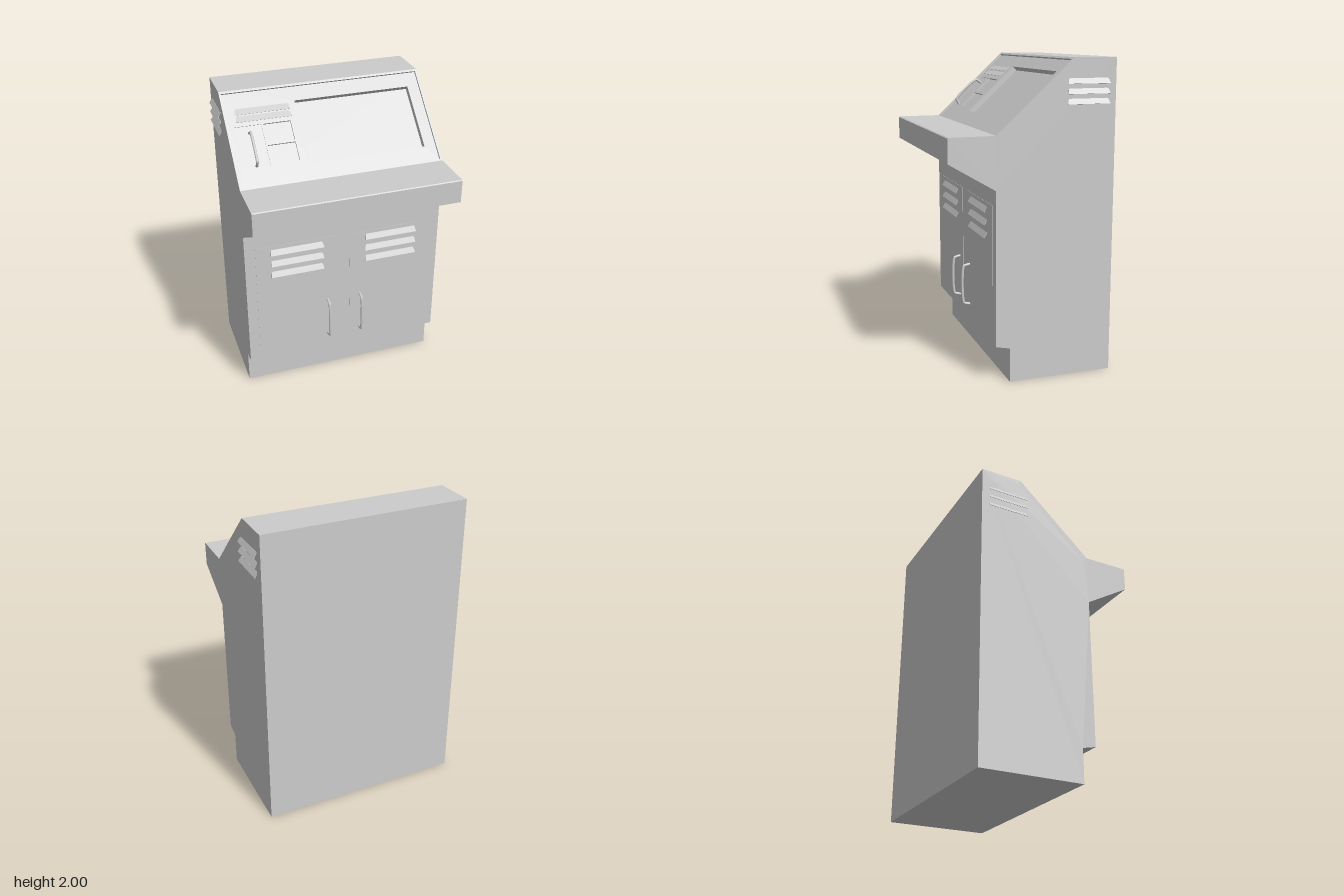
import * as THREE from 'three';

const metal = new THREE.MeshStandardMaterial({ color: 0xcccccc, side: THREE.DoubleSide });
metal.name = 'greyMetal';

const WIDTH = 1.34;
const SLOPE = Math.hypot(0.49, 0.45);      // length of the sloping console face
const TILT = Math.atan2(0.49, 0.45);       // its lean backwards
const DEPTH = 0.047;                       // space behind the console face for its layers
const LIP = 0.012;                         // height of the rim around the console face

function add(parent, name, geometry, x = 0, y = 0, z = 0) {
  const mesh = new THREE.Mesh(geometry, metal);
  mesh.name = name;
  mesh.position.set(x, y, z);
  parent.add(mesh);
  return mesh;
}

const rectPoints = ([x0, y0, x1, y1]) =>
  [[x0, y0], [x1, y0], [x1, y1], [x0, y1]].map(p => new THREE.Vector2(...p));

// Flat plate with rectangular openings
function plate(outer, holes, depth) {
  const shape = new THREE.Shape(rectPoints(outer));
  holes.forEach(h => shape.holes.push(new THREE.Path(rectPoints(h).reverse())));
  return new THREE.ExtrudeGeometry(shape, { depth, bevelEnabled: false });
}

// Thin slat hinged at its top edge and leaning out at the bottom
function louvre(parent, name, width, drop, out, x, y, z, turn = 0) {
  const w = width / 2, h = Math.hypot(drop, out);
  const shape = new THREE.Shape();
  shape.moveTo(-w, -h);
  shape.lineTo(w, -h);
  shape.lineTo(w - 0.004, -h * 0.4);
  shape.quadraticCurveTo(w - 0.006, 0, w - 0.018, 0);
  shape.lineTo(-w + 0.018, 0);
  shape.quadraticCurveTo(-w + 0.006, 0, -w + 0.004, -h * 0.4);
  const geometry = new THREE.ExtrudeGeometry(shape, { depth: 0.002, bevelEnabled: false, curveSegments: 4 });
  geometry.rotateX(-Math.atan2(out, drop));
  add(parent, name, geometry, x, y, z).rotation.y = turn;
}

// Bowed grab handle standing off its surface, along local y
function handle(parent, name, length, reach, x, y, z) {
  const l = length / 2;
  const points = [[-l, -0.004], [-l + 0.012, reach * 0.8], [-l * 0.5, reach * 0.97], [0, reach],
    [l * 0.5, reach * 0.97], [l - 0.012, reach * 0.8], [l, -0.004]]
    .map(([py, pz]) => new THREE.Vector3(0, py, pz));
  const curve = new THREE.CatmullRomCurve3(points, false, 'catmullrom', 0.25);
  add(parent, name, new THREE.TubeGeometry(curve, 40, 0.009, 10), x, y, z);
}

export function createModel() {
  const model = new THREE.Group();
  model.name = 'controlConsole';

  // Cabinet body: side profile (z, y) with a notch for the console face
  const nz = Math.cos(TILT) * DEPTH, ny = Math.sin(TILT) * DEPTH;
  const profile = [[0.15, 0], [0.15, 0.22], [0.24, 0.24], [0.24, 1.22], [0.535, 1.395], [0.535, 1.545],
    [0.528, 1.55], [0.24, 1.55], [0.24 - nz, 1.55 - ny], [-0.25 - nz, 2 - ny], [-0.25, 2],
    [-0.53, 2], [-0.53, 0]].map(p => new THREE.Vector2(...p));
  const body = new THREE.ExtrudeGeometry(new THREE.Shape(profile), { depth: WIDTH, bevelEnabled: false });
  body.translate(0, 0, -WIDTH / 2).rotateY(-Math.PI / 2);
  add(model, 'cabinetBody', body);

  // Console face: local y runs up the slope, local z points out of it
  const face = new THREE.Group();
  face.name = 'consoleFace';
  face.position.set(0, 1.55, 0.24);
  face.rotation.x = -TILT;
  model.add(face);
  const outer = [-WIDTH / 2, 0, WIDTH / 2, SLOPE];
  const screen = [-0.2, 0.117, 0.58, 0.552];
  const pockets = [[-0.435, 0.146, -0.255, 0.274], [-0.435, 0.288, -0.255, 0.42]];
  const hatch = [-0.615, 0.14, -0.445, 0.42];
  add(face, 'consoleRim', plate(outer, [[-0.657, 0.011, 0.657, 0.65]], LIP), 0, 0, -LIP);
  add(face, 'consolePanel', plate(outer, [screen, hatch, ...pockets], DEPTH - LIP), 0, 0, -DEPTH);
  pockets.forEach(p => add(face, 'pocketFloor', plate(p, [], 0.024), 0, 0, -DEPTH));
  add(face, 'hatchPlate', plate(hatch, [], 0.031), 0, 0, -DEPTH);
  handle(face, 'hatchHandle', 0.225, 0.05, -0.53, 0.26, -LIP - 0.004);
  for (const v of [0.54, 0.49])
    louvre(face, 'consoleLouvre', 0.36, 0.046, 0.012, -0.42, v, -LIP);

  // Cupboard doors, their louvres and handles, and the side vents
  for (const s of [1, -1]) {
    add(model, 'door', new THREE.BoxGeometry(0.56, 0.82, 0.004), s * 0.32, 0.71, 0.24);
    handle(model, 'doorHandle', 0.28, 0.052, s * 0.115, 0.485, 0.242);
    for (let i = 0; i < 3; i++) {
      louvre(model, 'doorLouvre', 0.36, 0.036, 0.02, s * 0.323, 1.094 - i * 0.083, 0.24);
      louvre(model, 'sideLouvre', 0.275, 0.032, 0.02, s * WIDTH / 2, 1.876 - i * 0.061, -0.347, s * Math.PI / 2);
    }
  }
  return model;
}
